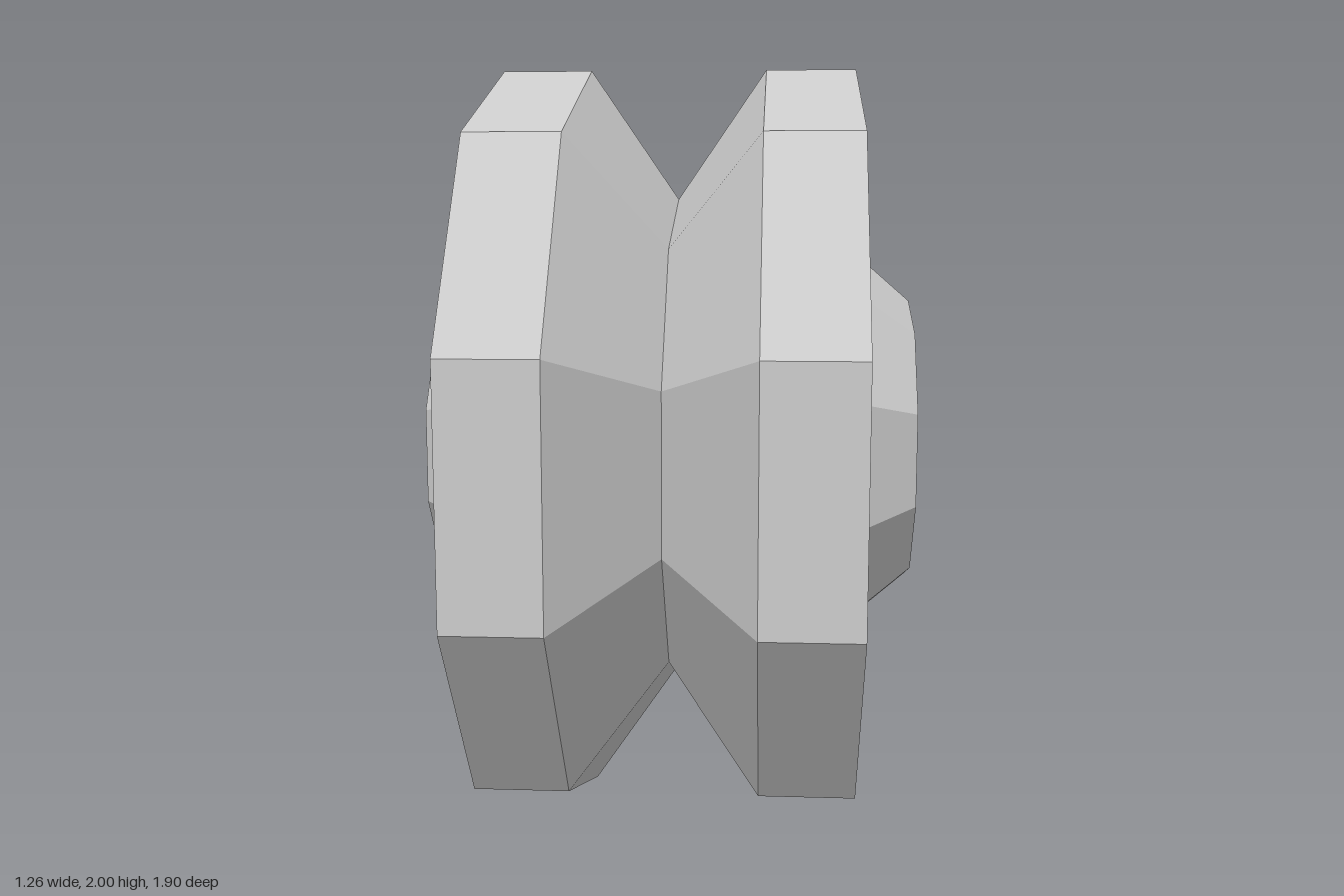
import * as THREE from 'three';

const SIDES = 10;
const material = new THREE.MeshStandardMaterial({ color: 0xcccccc, flatShading: true });

// Ten-sided turned part along the x axis; profile is [radius, x] with x ascending.
function turned(name, profile) {
  const points = profile.map(([r, x]) => new THREE.Vector2(r, x));
  const geometry = new THREE.LatheGeometry(points, SIDES, Math.PI / 2);
  geometry.rotateZ(-Math.PI / 2);
  const mesh = new THREE.Mesh(geometry, material);
  mesh.name = name;
  mesh.position.y = 1;
  return mesh;
}

export function createModel() {
  const group = new THREE.Group();
  group.name = 'pulleyWheel';

  // Wheel with a V-shaped groove around its middle
  const half = 0.475, lip = 0.236, groove = 0.657;
  group.add(turned('groovedWheel', [
    [0, -half], [1, -half], [1, -lip], [groove, 0], [1, lip], [1, half], [0, half],
  ]));

  // Bevelled hub on each face
  const hub = [[0.516, half], [0.383, 0.628], [0, 0.628]];
  group.add(turned('leftHub', hub));
  group.add(turned('rightHub', hub.map(([r, x]) => [r, -x]).reverse()));

  return group;
}
